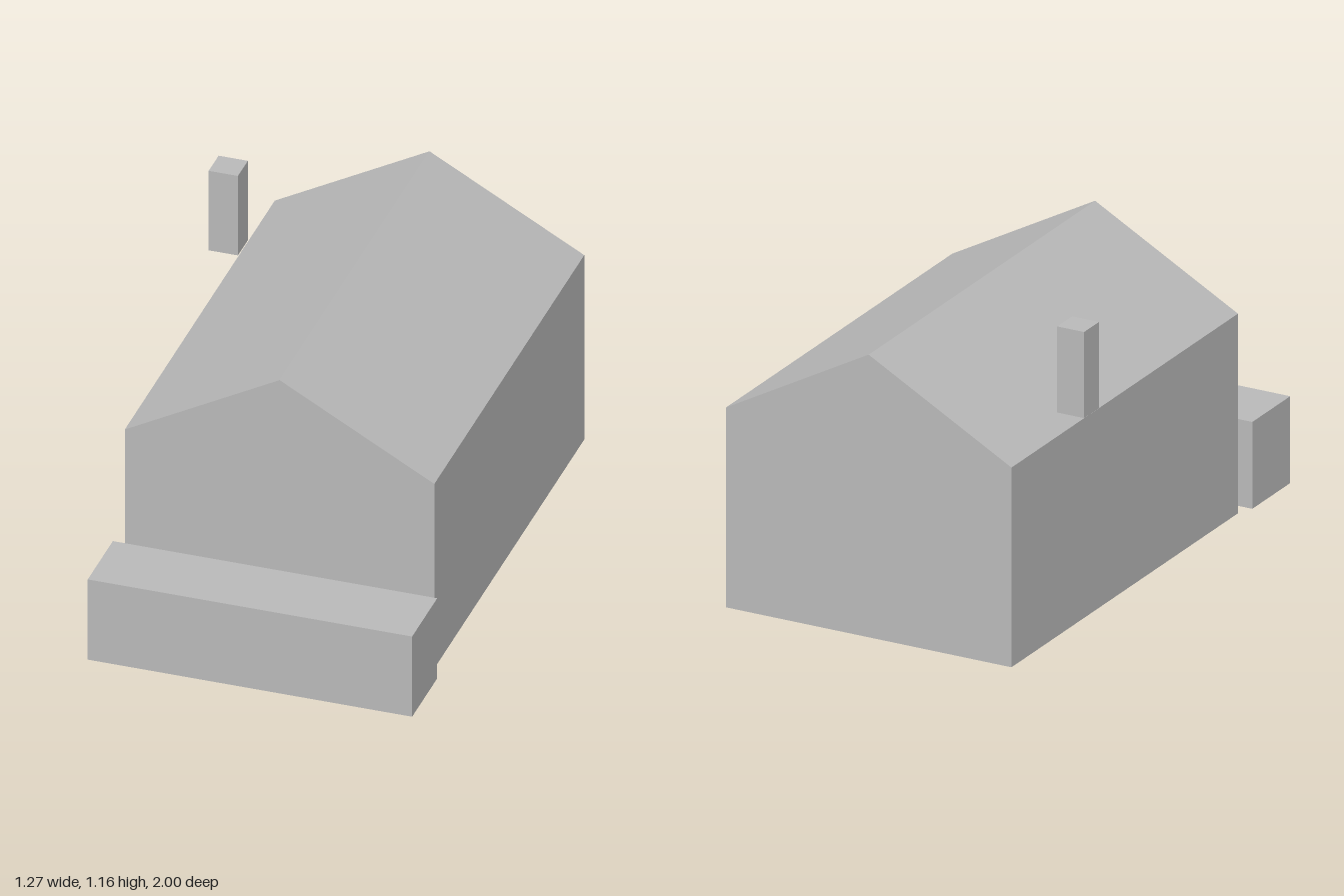
import * as THREE from 'three';

const plaster = new THREE.MeshStandardMaterial({ color: 0xb8b8b8, side: THREE.DoubleSide });
plaster.name = 'light grey';

// Extrudes an x-y outline from z0 to z1 and leaves the underside open
function openShell(name, outline, z0, z1) {
  const shape = new THREE.Shape(outline.map(([x, y]) => new THREE.Vector2(x, y)));
  const solid = new THREE.ExtrudeGeometry(shape, { depth: z1 - z0, bevelEnabled: false });
  const pos = solid.attributes.position;
  const normal = solid.attributes.normal;
  const kept = [];
  for (let i = 0; i < pos.count; i += 3) {
    if (normal.getY(i) < -0.9) continue;
    for (let k = i; k < i + 3; k++) kept.push(pos.getX(k), pos.getY(k), pos.getZ(k) + z0);
  }
  const geometry = new THREE.BufferGeometry();
  geometry.setAttribute('position', new THREE.Float32BufferAttribute(kept, 3));
  geometry.computeVertexNormals();
  const mesh = new THREE.Mesh(geometry, plaster);
  mesh.name = name;
  return mesh;
}

const rectangle = (x0, x1, y0, y1) => [[x0, y0], [x1, y0], [x1, y1], [x0, y1]];

export function createModel() {
  const house = new THREE.Group();
  house.name = 'house';

  // Main body with gabled roof
  const gable = [[-0.56, 0], [0.604, 0], [0.604, 0.768], [0.022, 1.087], [-0.56, 0.768]];
  house.add(openShell('gabledBody', gable, -1, 0.66));

  // Low block standing just in front of the body
  house.add(openShell('frontBlock', rectangle(-0.584, 0.636, 0, 0.334), 0.722, 1));

  // Chimney beside the roof edge
  house.add(openShell('chimney', rectangle(-0.638, -0.528, 0.834, 1.165), -0.608, -0.498));

  return house;
}
